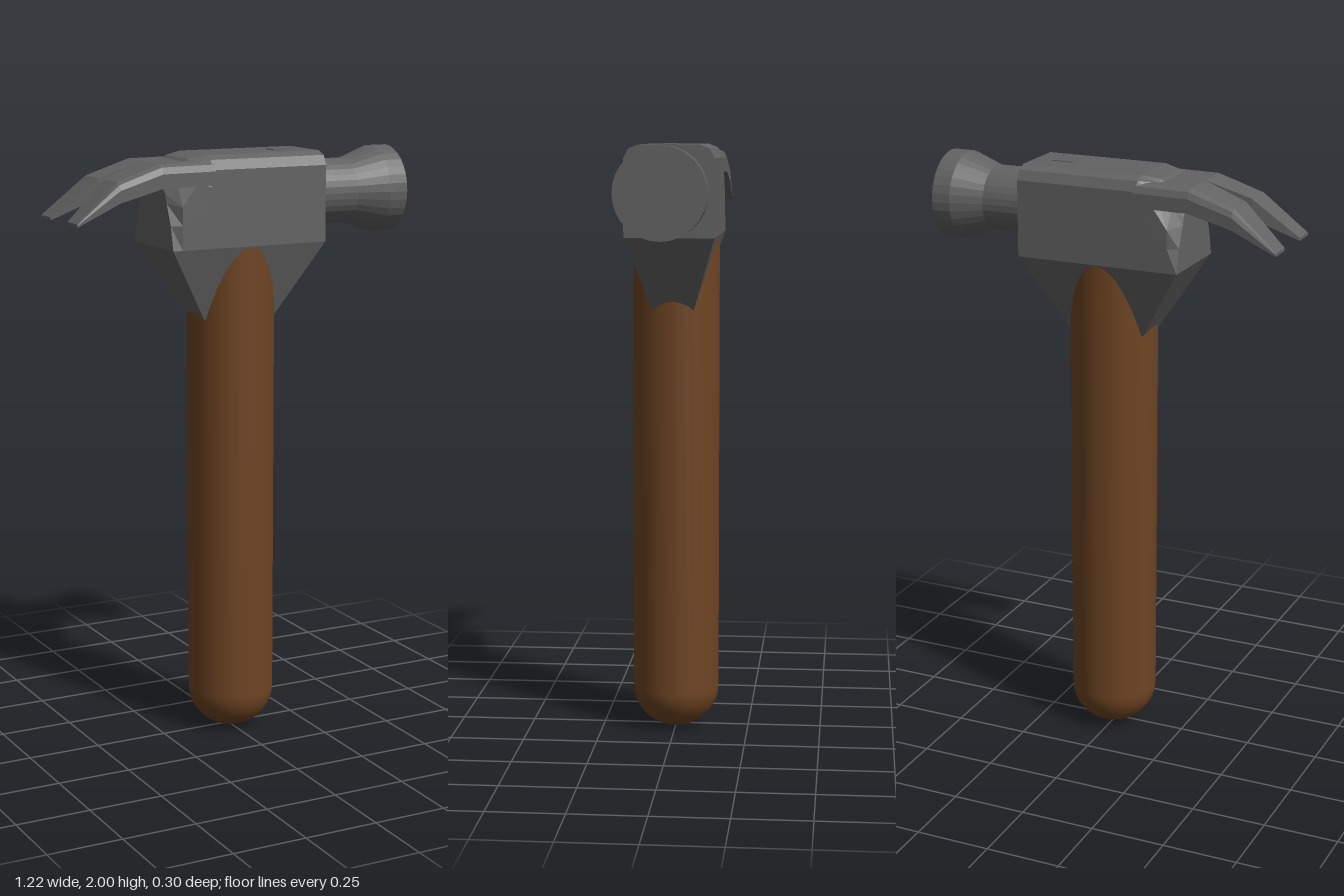
import * as THREE from 'three';

const steel = new THREE.MeshStandardMaterial({ color: 0x626262, flatShading: true });
steel.name = 'steel';
const wood = new THREE.MeshStandardMaterial({ color: 0x6e4422 });
wood.name = 'wood';

function part(name, geometry, material) {
  const mesh = new THREE.Mesh(geometry, material);
  mesh.name = name;
  return mesh;
}

// Skin a list of rings (counter-clockwise around the loft direction) and cap both ends
function loft(rings) {
  const n = rings[0].length;
  const pos = [];
  const tri = (a, b, c) => pos.push(...a, ...b, ...c);
  for (let s = 0; s < rings.length - 1; s++) {
    for (let j = 0; j < n; j++) {
      const k = (j + 1) % n;
      tri(rings[s][j], rings[s][k], rings[s + 1][k]);
      tri(rings[s][j], rings[s + 1][k], rings[s + 1][j]);
    }
  }
  const first = rings[0], last = rings[rings.length - 1];
  for (let j = 1; j < n - 1; j++) {
    tri(first[0], first[j + 1], first[j]);
    tri(last[0], last[j], last[j + 1]);
  }
  const g = new THREE.BufferGeometry();
  g.setAttribute('position', new THREE.Float32BufferAttribute(pos, 3));
  g.computeVertexNormals();
  return g;
}

// Symmetric ring at x from [y, z] points running down one side
function headRing(x, half) {
  const front = half.map(([y, z]) => [x, y, z]);
  const back = half.map(([y, z]) => [x, y, -z]).reverse();
  return [...front, ...back];
}

// One claw prong; side is +1 or -1 along z
function prong(side) {
  const stations = [ // x, top, bottom, inner z, outer z
    [-0.61, 1.806, 1.796, 0.07, 0.152],
    [-0.46, 1.93, 1.865, 0.023, 0.152],
    [-0.31, 1.98, 1.903, 0, 0.15],
    [-0.12, 1.982, 1.905, 0, 0.15],
  ];
  return loft(stations.map(([x, top, bot, zi, zo]) => {
    const r = (top - bot) * 0.4;
    const ring = [[top, zi], [top, zo - r], [top - r * 0.3, zo - r * 0.3],
      [top - r, zo], [bot, zo], [bot, zi]].map(([y, z]) => [x, y, z * side]);
    return side > 0 ? ring : ring.reverse();
  }));
}

export function createModel() {
  const group = new THREE.Group();
  group.name = 'hammer';

  // Handle with a domed foot
  const R = 0.147, dome = 0.14;
  const profile = [];
  for (let i = 0; i <= 10; i++) {
    const a = (i / 10) * Math.PI / 2;
    profile.push(new THREE.Vector2(R * Math.sin(a), dome * (1 - Math.cos(a))));
  }
  profile.push(new THREE.Vector2(R, 1.78));
  const handle = part('handle', new THREE.LatheGeometry(profile, 32), wood);
  handle.position.x = 0.01;
  group.add(handle);

  // Head block, rounded on top and tapering at the claw end
  const full = [[2, 0.1], [1.987, 0.132], [1.955, 0.148], [1.9, 0.148], [1.8, 0.148], [1.7, 0.148]];
  group.add(part('headBlock', loft([
    headRing(-0.275, [[1.91, 0.05], [1.9, 0.07], [1.88, 0.09], [1.85, 0.1], [1.78, 0.13], [1.7, 0.148]]),
    headRing(-0.24, [[1.95, 0.06], [1.94, 0.08], [1.91, 0.11], [1.84, 0.147], [1.78, 0.148], [1.7, 0.148]]),
    headRing(-0.19, [[1.99, 0.08], [1.98, 0.095], [1.95, 0.12], [1.91, 0.147], [1.8, 0.148], [1.7, 0.148]]),
    headRing(-0.13, full),
    headRing(0.29, full),
  ]), steel));

  // Tapered socket gripping the handle
  const rect = (y, x0, x1, z) => [[x0, y, z], [x1, y, z], [x1, y, -z], [x0, y, -z]];
  group.add(part('socket', loft([
    rect(1.455, -0.125, 0.14, 0.07),
    rect(1.7, -0.275, 0.29, 0.148),
  ]), steel));

  // Neck and striking face, turned about the x axis
  const pollProfile = [[0, 0.27], [0.11, 0.27], [0.11, 0.44], [0.148, 0.545], [0.148, 0.61], [0, 0.61]]
    .map(([r, x]) => new THREE.Vector2(r, x));
  const poll = part('strikingPoll', new THREE.LatheGeometry(pollProfile, 32), steel);
  poll.rotation.z = -Math.PI / 2;
  poll.position.y = 1.853;
  group.add(poll);

  // Split claw
  group.add(part('leftClaw', prong(1), steel), part('rightClaw', prong(-1), steel));

  // Small nail rest on top
  const rest = part('nailRest', new THREE.BoxGeometry(0.07, 0.006, 0.05), steel);
  rest.position.set(0.19, 2, 0.005);
  group.add(rest);

  return group;
}
